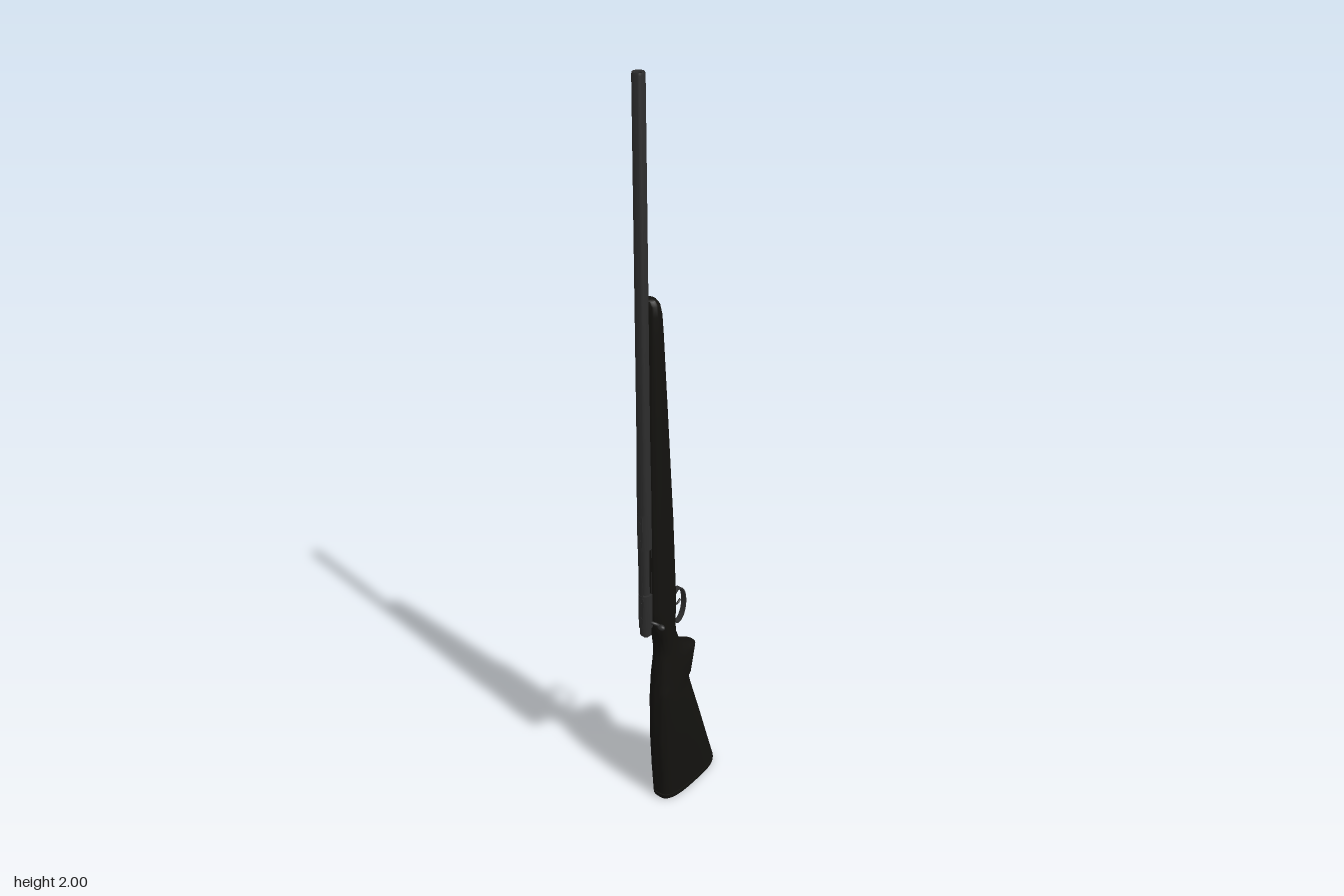
import * as THREE from 'three';
import { toCreasedNormals } from 'three/addons/utils/BufferGeometryUtils.js';

const ZC = -0.008; // centre plane of the rifle
const BX = -0.126; // bore axis
const stockMat = new THREE.MeshStandardMaterial({ color: 0x13120f });
const steelMat = new THREE.MeshStandardMaterial({ color: 0x2c2c2c, side: THREE.DoubleSide });

// Loft of superellipse sections [y, xMin, xMax, halfWidth, exponent], bottom to top
function loft(sections, n = 32) {
  const pos = [], idx = [];
  for (const [y, x0, x1, w, e] of sections) {
    for (let j = 0; j < n; j++) {
      const t = (j / n) * Math.PI * 2, c = Math.cos(t), s = Math.sin(t);
      pos.push((x0 + x1) / 2 + ((x1 - x0) / 2) * Math.sign(c) * Math.abs(c) ** (2 / e), y,
        ZC + w * Math.sign(s) * Math.abs(s) ** (2 / e));
    }
  }
  const rows = sections.length;
  for (let i = 0; i < rows - 1; i++) {
    for (let j = 0; j < n; j++) {
      const a = i * n + j, b = i * n + ((j + 1) % n);
      idx.push(a, a + n, b, b, a + n, b + n);
    }
  }
  // End caps
  for (const r of [0, rows - 1]) {
    const [y, x0, x1] = sections[r];
    const c = pos.length / 3;
    pos.push((x0 + x1) / 2, y, ZC);
    for (let j = 0; j < n; j++) {
      const a = r * n + j, b = r * n + ((j + 1) % n);
      if (r === 0) idx.push(c, a, b); else idx.push(c, b, a);
    }
  }
  const g = new THREE.BufferGeometry();
  g.setAttribute('position', new THREE.Float32BufferAttribute(pos, 3));
  g.setIndex(idx);
  return toCreasedNormals(g, 0.6);
}

export function createModel() {
  const group = new THREE.Group();
  const add = (name, geometry, material, x = 0, y = 0, z = 0) => {
    const m = new THREE.Mesh(geometry, material);
    m.name = name;
    m.position.set(x, y, z);
    group.add(m);
    return m;
  };
  const tube = (name, r, y0, y1, x = BX) =>
    add(name, new THREE.CylinderGeometry(r, r, y1 - y0, 24), steelMat, x, (y0 + y1) / 2, ZC);

  // Stock: butt, pistol grip, wrist and fore-end in one loft
  add('stock', loft([
    [0.02, -0.081, 0.142, 0.041, 3],
    [0.1, -0.087, 0.116, 0.041, 2.9],
    [0.23, -0.094, 0.075, 0.04, 2.7],
    [0.35, -0.094, 0.036, 0.037, 2.5],
    [0.376, -0.093, 0.03, 0.036, 2.5],
    [0.382, -0.092, 0.042, 0.036, 2.5],
    [0.42, -0.09, 0.052, 0.036, 2.5],
    [0.455, -0.086, 0.063, 0.035, 2.4],
    [0.466, -0.085, 0.045, 0.034, 2.3],
    [0.48, -0.083, 0.018, 0.032, 2.2],
    [0.5, -0.081, -0.003, 0.03, 2.2],
    [0.54, -0.086, -0.02, 0.028, 2.3],
    [0.57, -0.1, -0.024, 0.029, 2.5],
    [0.6, -0.115, -0.024, 0.03, 2.8],
    [0.65, -0.12, -0.024, 0.031, 3],
    [0.89, -0.12, -0.036, 0.031, 3],
    [1.0, -0.12, -0.043, 0.031, 2.8],
    [1.2, -0.119, -0.056, 0.03, 2.7],
    [1.4, -0.118, -0.069, 0.028, 2.6],
    [1.45, -0.117, -0.073, 0.027, 2.5],
    [1.475, -0.117, -0.078, 0.024, 2.4],
    [1.487, -0.116, -0.086, 0.017, 2.3],
    [1.491, -0.113, -0.095, 0.009, 2],
  ]), stockMat);
  add('recoilPad', loft([
    [0, -0.076, 0.137, 0.036, 3],
    [0.004, -0.079, 0.142, 0.04, 3],
    [0.016, -0.081, 0.143, 0.041, 3],
  ]), stockMat);

  // Tapered barrel with an open, crowned muzzle
  const barrel = [[0.0175, 0.92], [0.0175, 1.0], [0.016, 1.15], [0.0148, 1.995], [0.0135, 2],
    [0.0075, 1.998], [0.0065, 1.94], [0, 1.94]].map(p => new THREE.Vector2(...p));
  add('barrel', toCreasedNormals(new THREE.LatheGeometry(barrel, 24), 0.6), steelMat, BX, 0, ZC);

  // Receiver: two rings joined by a wall that leaves the loading port open
  tube('receiverRear', 0.0175, 0.605, 0.705);
  tube('receiverFront', 0.0178, 0.84, 0.94);
  add('receiverWall', new THREE.CylinderGeometry(0.0165, 0.0165, 0.145, 24, 1, true, 0.3, Math.PI * 1.5),
    steelMat, BX, 0.772, ZC);
  for (const [y, h] of [[0.892, 0.085], [0.66, 0.075]]) {
    add('sightBase', new THREE.BoxGeometry(0.006, h, 0.014), steelMat, -0.1405, y, ZC);
    for (const s of [-1, 1]) {
      const screw = add('baseScrew', new THREE.CylinderGeometry(0.0035, 0.0035, 0.002, 10), steelMat,
        -0.1433, y + s * h * 0.3, ZC);
      screw.rotation.z = Math.PI / 2;
    }
  }

  // Bolt with shroud, curved handle and knob
  tube('boltBody', 0.011, 0.6, 0.86);
  tube('boltShroud', 0.0145, 0.582, 0.61);
  tube('firingPinEnd', 0.007, 0.574, 0.585);
  const handle = new THREE.CatmullRomCurve3([
    new THREE.Vector3(BX, 0.622, ZC), new THREE.Vector3(-0.124, 0.622, 0.012),
    new THREE.Vector3(-0.119, 0.619, 0.022), new THREE.Vector3(-0.118, 0.616, 0.034)]);
  add('boltHandle', new THREE.TubeGeometry(handle, 16, 0.0042, 10), steelMat);
  add('boltKnob', new THREE.SphereGeometry(0.0075, 16, 12), steelMat, -0.118, 0.615, 0.035).scale.z = 1.4;

  // Magazine floorplate under the action
  const plate = new THREE.Shape();
  plate.moveTo(-0.06, 0.63);
  plate.lineTo(-0.02, 0.63);
  plate.lineTo(-0.02, 0.66);
  plate.lineTo(-0.029, 0.88);
  plate.lineTo(-0.034, 0.895);
  plate.lineTo(-0.06, 0.895);
  add('floorplate', new THREE.ExtrudeGeometry(plate, { depth: 0.024, bevelEnabled: false }), steelMat, 0, 0, ZC - 0.012);

  // Oval trigger guard and curved trigger
  const guard = new THREE.Shape().absellipse(0.002, 0.598, 0.03, 0.053, 0, Math.PI * 2);
  guard.holes.push(new THREE.Path().absellipse(0.002, 0.598, 0.0265, 0.049, 0, Math.PI * 2));
  add('triggerGuard', toCreasedNormals(new THREE.ExtrudeGeometry(guard,
    { depth: 0.014, bevelEnabled: false, curveSegments: 24 }), 0.6), steelMat, 0, 0, ZC - 0.007);
  const trigger = new THREE.CatmullRomCurve3([
    new THREE.Vector3(-0.03, 0.612, ZC), new THREE.Vector3(-0.012, 0.606, ZC),
    new THREE.Vector3(0.003, 0.602, ZC), new THREE.Vector3(0.015, 0.608, ZC)]);
  add('trigger', new THREE.TubeGeometry(trigger, 14, 0.003, 8), steelMat);

  return group;
}
